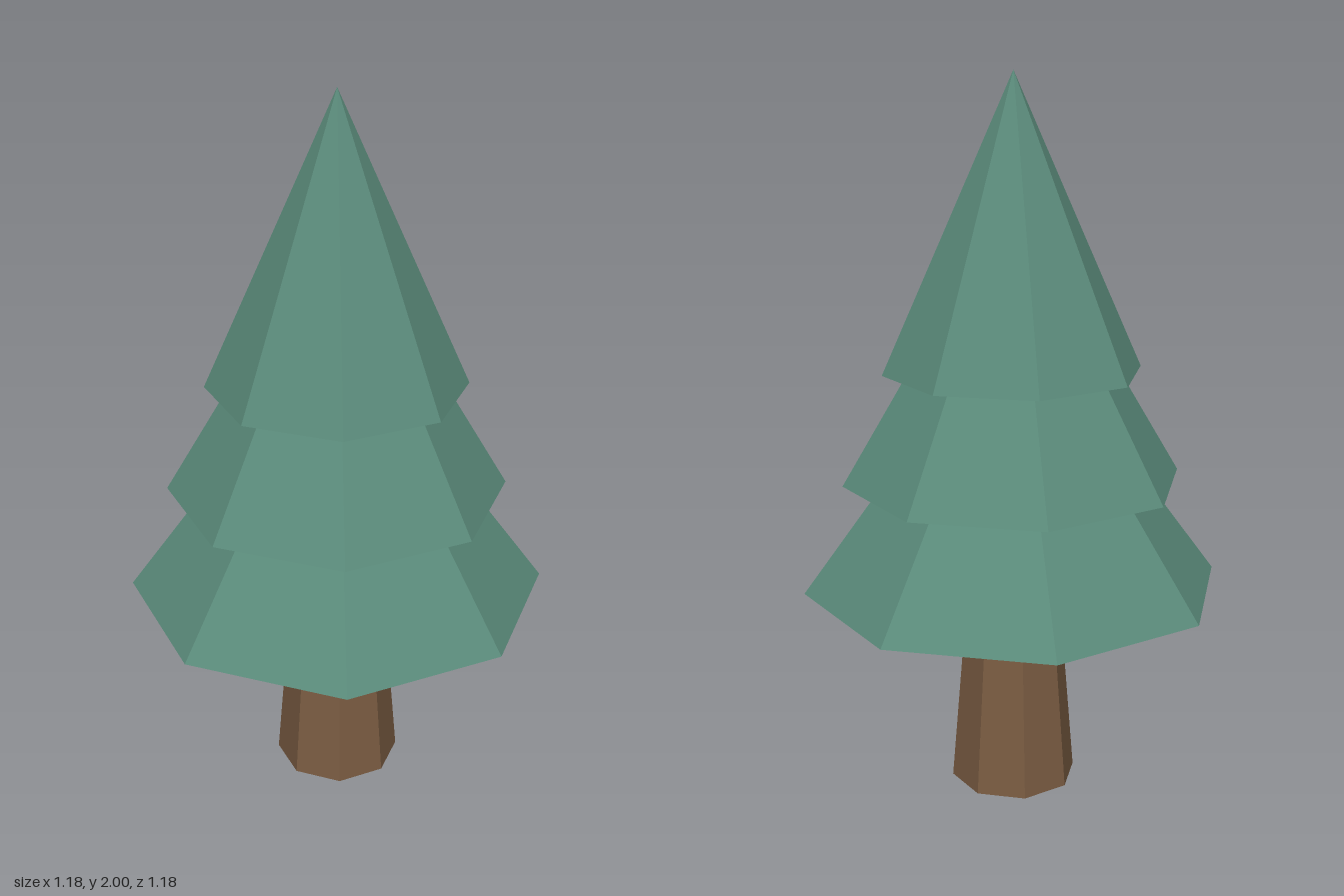
import * as THREE from 'three';

const SIDES = 8;

export function createModel() {
  const tree = new THREE.Group();
  tree.name = 'pineTree';

  const bark = new THREE.MeshStandardMaterial({ color: 0x7a5c42, flatShading: true });
  const needles = new THREE.MeshStandardMaterial({ color: 0x5a8a7a, flatShading: true });

  // Tapered trunk, its top just inside the lowest tier
  const trunkHeight = 0.6;
  const trunk = new THREE.Mesh(
    new THREE.CylinderGeometry(0.13, 0.18, trunkHeight, SIDES), bark);
  trunk.name = 'trunk';
  trunk.position.y = trunkHeight / 2;
  tree.add(trunk);

  // Three overlapping cones of equal height, narrowing upwards
  const tierHeight = 0.795;
  const tiers = [
    { name: 'lowerFoliage', radius: 0.59, base: 0.595 },
    { name: 'middleFoliage', radius: 0.475, base: 0.9 },
    { name: 'upperFoliage', radius: 0.36, base: 1.205 },
  ];
  for (const { name, radius, base } of tiers) {
    const tier = new THREE.Mesh(
      new THREE.ConeGeometry(radius, tierHeight, SIDES), needles);
    tier.name = name;
    tier.position.y = base + tierHeight / 2;
    tree.add(tier);
  }

  return tree;
}
